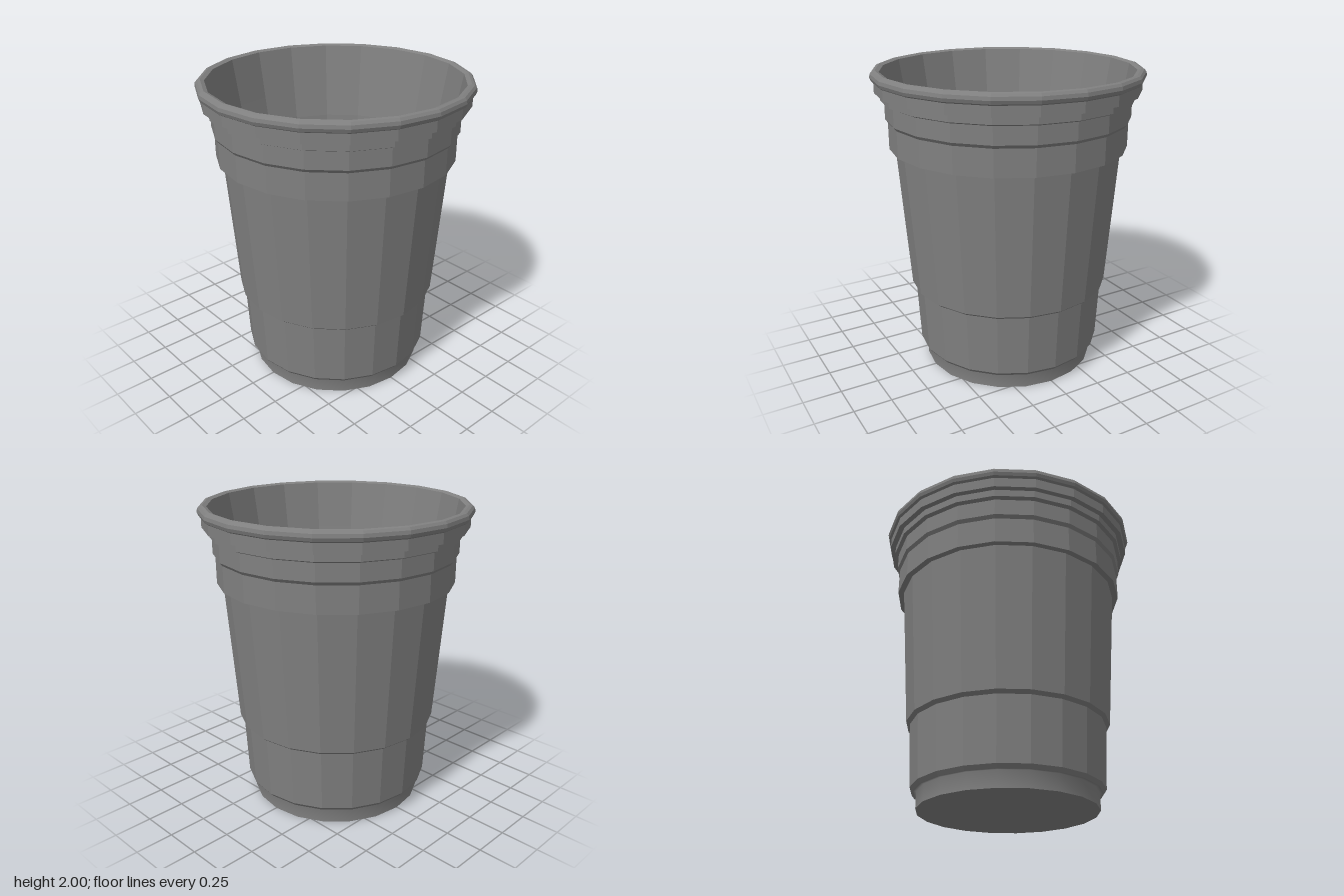
import * as THREE from 'three';

const SIDES = 20;

// Revolve a [radius, height] profile; listed upward it faces outward, downward it faces inward.
function ring(name, profile, flatShading = true) {
  const points = profile.map(([r, y]) => new THREE.Vector2(r, y));
  const material = new THREE.MeshStandardMaterial({ color: 0x808080, flatShading });
  const mesh = new THREE.Mesh(new THREE.LatheGeometry(points, SIDES), material);
  mesh.name = name;
  return mesh;
}

export function createModel() {
  const cup = new THREE.Group();
  cup.name = 'cup';
  cup.add(
    // Flat underside and softly shaded foot running into the step above it
    ring('base', [[0, 0], [0.577, 0]]),
    ring('foot', [[0.577, 0], [0.577, 0.106], [0.6, 0.106]], false),
    // Tapered wall with a step above the foot and one at a third of the height
    ring('outerWall', [
      [0.6, 0.106], [0.619, 0.13], [0.64, 0.54], [0.664, 0.56], [0.733, 1.5],
    ]),
    // Stepped grip bands below the rim
    ring('gripBands', [
      [0.733, 1.5], [0.772, 1.5], [0.772, 1.672], [0.788, 1.693],
      [0.788, 1.804], [0.812, 1.815], [0.812, 1.862], [0.847, 1.862],
      [0.847, 1.928],
    ]),
    // Rolled lip
    ring('rim', [
      [0.847, 1.928], [0.862, 1.937], [0.87, 1.958], [0.866, 1.98],
      [0.853, 1.995], [0.835, 2], [0.81, 1.99],
    ]),
    // Smoothly narrowing inside, closed by the floor
    ring('innerWall', [[0.81, 1.99], [0.757, 1.68], [0.725, 1.5], [0.635, 0.56], [0.55, 0.06]]),
    ring('floor', [[0.55, 0.06], [0, 0.06]]),
  );
  return cup;
}
